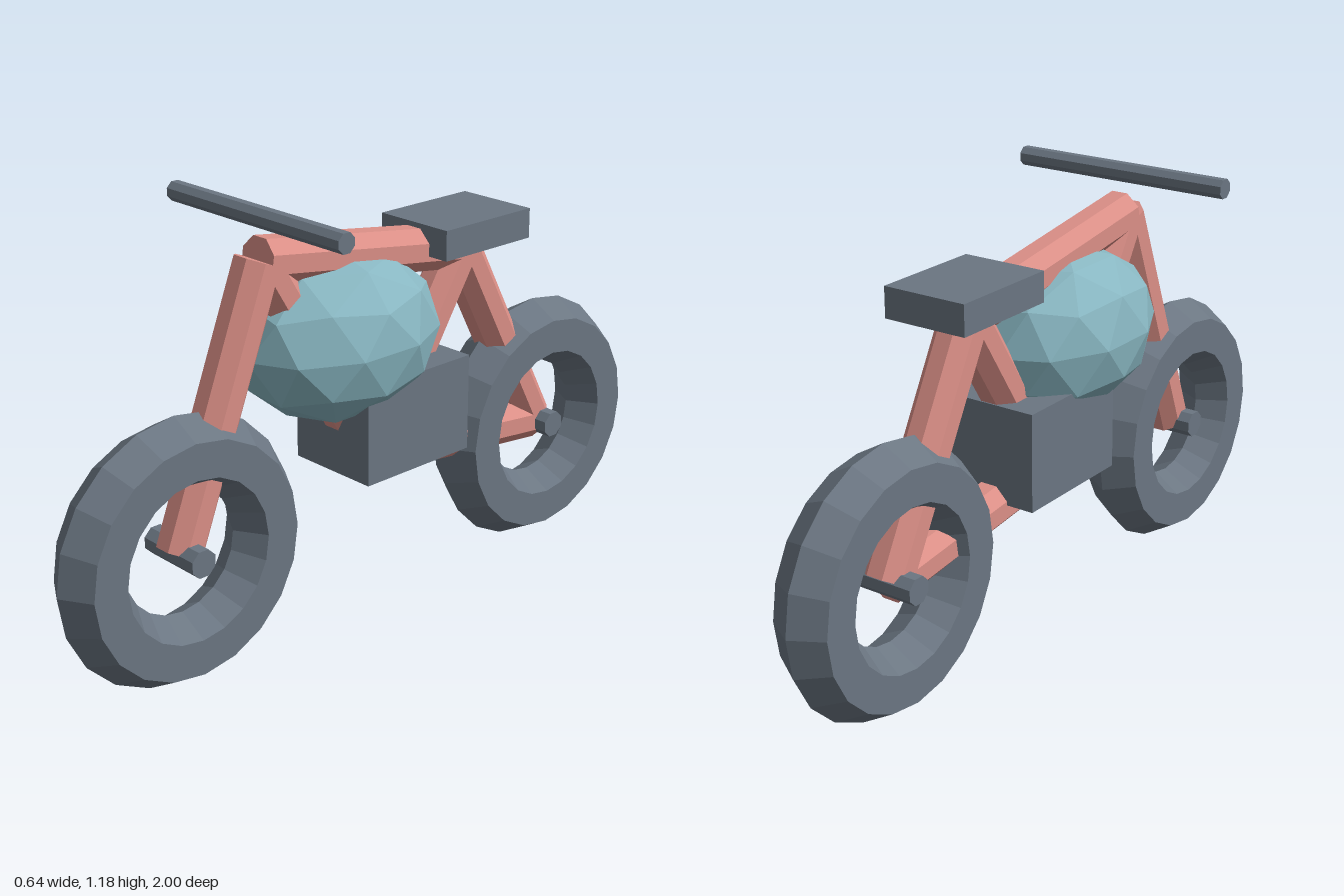
import * as THREE from 'three';

export function createModel() {
  const group = new THREE.Group();
  const mat = (name, hex) => {
    const m = new THREE.MeshStandardMaterial({ color: hex });
    m.name = name;
    return m;
  };
  const grey = mat('slate grey', 0x6b7682);
  const pink = mat('salmon pink', 0xdb8f87);
  const teal = mat('soft teal', 0x88b6c1);

  // Faceted mesh helper: every face keeps its own normal
  const add = (name, geometry, material, x = 0, y = 0, z = 0) => {
    const flat = geometry.index ? geometry.toNonIndexed() : geometry;
    flat.computeVertexNormals();
    const mesh = new THREE.Mesh(flat, material);
    mesh.name = name;
    mesh.position.set(x, y, z);
    group.add(mesh);
    return mesh;
  };
  const rod = (r, length) => new THREE.CylinderGeometry(r, r, length, 8, 1, false, Math.PI / 8);

  // Wheels with hexagonal tyre section, and their axles
  const wheelY = 0.362, wheelZ = 0.64;
  for (const [side, z] of [['front', wheelZ], ['rear', -wheelZ]]) {
    add(side + 'Wheel', new THREE.TorusGeometry(0.264, 0.096, 6, 20).rotateY(Math.PI / 2), grey, 0, wheelY, z);
    add(side + 'Axle', rod(0.038, 0.192).rotateZ(Math.PI / 2), grey, 0, wheelY, z);
  }

  // Frame tubes between joints given as [y, z]
  const head = [1.05, 0.37], seatJoint = [0.945, -0.325], bottom = [0.435, 0];
  const frontHub = [wheelY, wheelZ], rearHub = [wheelY, -wheelZ];
  const tubes = {
    fork: [frontHub, head],
    topTube: [head, seatJoint],
    downTube: [head, bottom],
    seatTube: [bottom, seatJoint],
    seatStay: [rearHub, seatJoint],
    chainStay: [rearHub, bottom],
  };
  for (const [name, [a, b]] of Object.entries(tubes)) {
    const dy = b[0] - a[0], dz = b[1] - a[1];
    const tube = rod(0.0625, Math.hypot(dy, dz)).rotateX(Math.atan2(dz, dy));
    add(name, tube, pink, 0, (a[0] + b[0]) / 2, (a[1] + b[1]) / 2);
  }

  // Fuel tank: stretched icosphere standing on a vertex
  const tank = new THREE.IcosahedronGeometry(1, 1)
    .rotateX(-Math.atan((1 + Math.sqrt(5)) / 2))
    .rotateY(Math.PI / 2)
    .scale(0.21, 0.225, 0.303);
  add('fuelTank', tank, teal, 0, 0.796, 0.107);

  // Seat, engine block and handlebar
  add('seat', new THREE.BoxGeometry(0.24, 0.082, 0.318), grey, 0, 1.001, -0.319);
  add('engineBlock', new THREE.BoxGeometry(0.275, 0.268, 0.368), grey, 0, 0.556, -0.051);
  add('handlebar', rod(0.027, 0.636).rotateZ(Math.PI / 2), grey, 0, 1.162, 0.37);

  return group;
}
